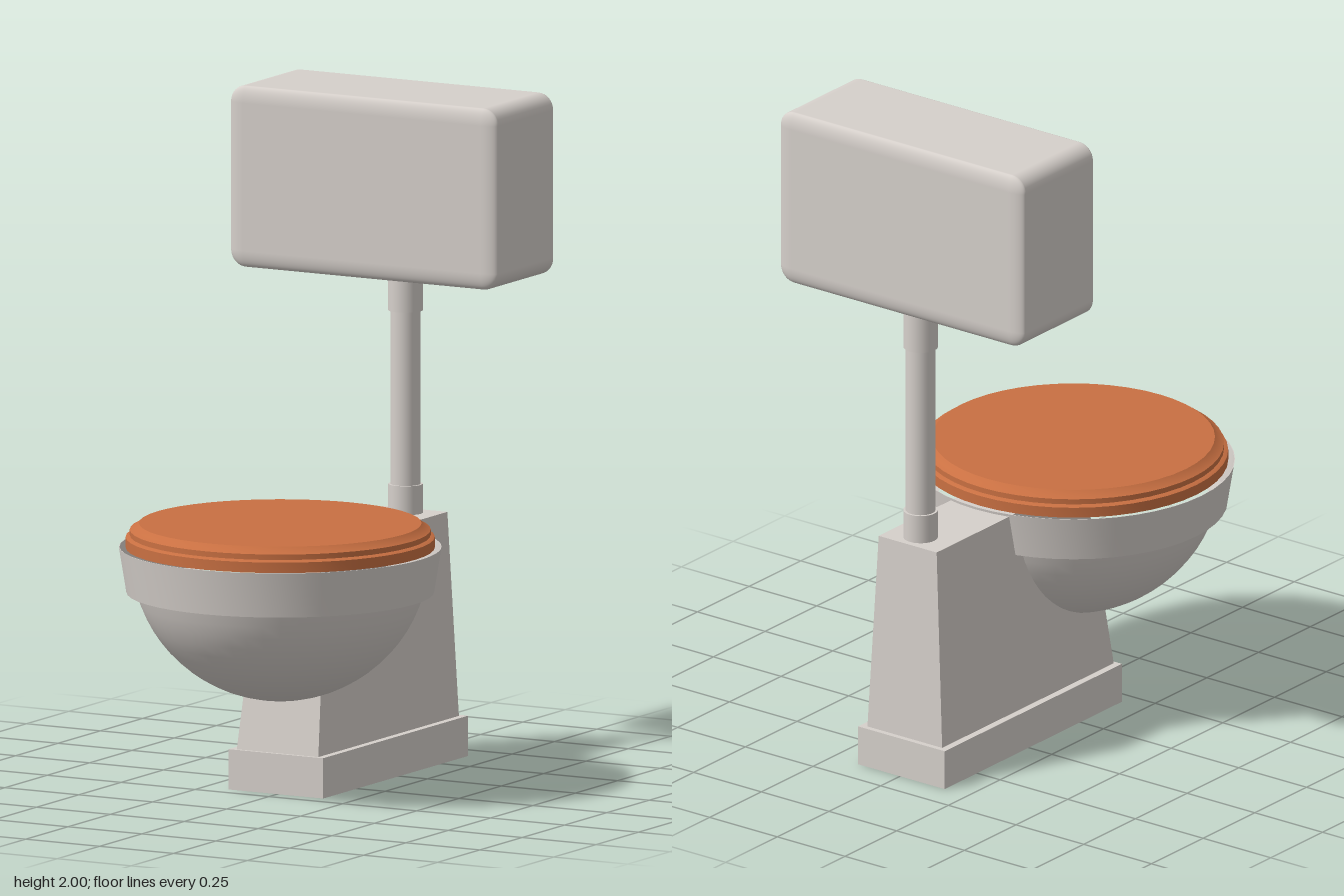
import * as THREE from 'three';
import { toCreasedNormals } from 'three/addons/utils/BufferGeometryUtils.js';
import { RoundedBoxGeometry } from 'three/addons/geometries/RoundedBoxGeometry.js';

const BOWL_Z = 0.183, PIPE_Z = -0.557;

// Turned part from [radius, height] pairs listed bottom to top, with crisp edges
function turned(points, segments = 48) {
  const profile = points.map(([r, y]) => new THREE.Vector2(r, y));
  return toCreasedNormals(new THREE.LatheGeometry(profile, segments), 0.5);
}

export function createModel() {
  const ceramic = new THREE.MeshStandardMaterial({ color: 0xd6d0cb });
  ceramic.name = 'ceramic';
  const wood = new THREE.MeshStandardMaterial({ color: 0xc97042 });
  wood.name = 'wood';

  const model = new THREE.Group();
  model.name = 'highTankToilet';
  function add(name, geometry, material, x = 0, y = 0, z = 0) {
    const mesh = new THREE.Mesh(geometry, material);
    mesh.name = name;
    mesh.position.set(x, y, z);
    model.add(mesh);
  }

  // Foot plinth
  add('plinth', new THREE.BoxGeometry(0.32, 0.12, 0.857), ceramic, -0.005, 0.06, -0.228);

  // Tapering pedestal: bottom and top rectangles differ
  const pedestal = new THREE.BoxGeometry(1, 1, 1);
  const p = pedestal.attributes.position;
  for (let i = 0; i < p.count; i++) {
    const top = p.getY(i) > 0;
    const front = p.getZ(i) > 0;
    const halfWidth = top ? 0.107 : 0.138;
    const z = front ? (top ? 0.09 : 0.19) : (top ? -0.626 : -0.64);
    p.setXYZ(i, Math.sign(p.getX(i)) * halfWidth, top ? 0.727 : 0.12, z);
  }
  pedestal.computeVertexNormals();
  add('pedestal', pedestal, ceramic, -0.005);

  // Round bowl
  const bowl = [];
  for (let i = 0; i <= 14; i++) {
    const a = (i / 14) * 1.3;
    bowl.push([0.44 * Math.sin(a), 0.72 - 0.44 * Math.cos(a)]);
  }
  add('bowl', turned(bowl), ceramic, 0, 0, BOWL_Z);

  // Flared rim with a thin wall
  add('rim', turned([[0.4, 0.6], [0.452, 0.6], [0.474, 0.735], [0.472, 0.735], [0.451, 0.61], [0.4, 0.61]]),
    ceramic, 0, 0, BOWL_Z);

  // Seat ring and stepped lid
  add('seat', turned([[0, 0.733], [0.454, 0.733], [0.454, 0.764], [0.44, 0.77], [0, 0.77]]),
    wood, 0, 0, BOWL_Z);
  add('lid', turned([[0.4, 0.77], [0.442, 0.77], [0.442, 0.786], [0.428, 0.793], [0.415, 0.805], [0, 0.805]]),
    wood, 0, 0, BOWL_Z);

  // Flush pipe with a collar at each end
  add('flushPipe', new THREE.CylinderGeometry(0.044, 0.044, 0.75, 32), ceramic, 0, 1.1, PIPE_Z);
  add('lowerCollar', new THREE.CylinderGeometry(0.051, 0.051, 0.09, 32), ceramic, 0, 0.768, PIPE_Z);
  add('upperCollar', new THREE.CylinderGeometry(0.051, 0.051, 0.14, 32), ceramic, 0, 1.4, PIPE_Z);

  // Tank, its rounding squeezed from front to back
  const tank = new RoundedBoxGeometry(0.904, 0.54, 0.9, 5, 0.05);
  tank.scale(1, 1, 0.4);
  add('tank', tank, ceramic, 0, 1.73, -0.478);

  return model;
}
